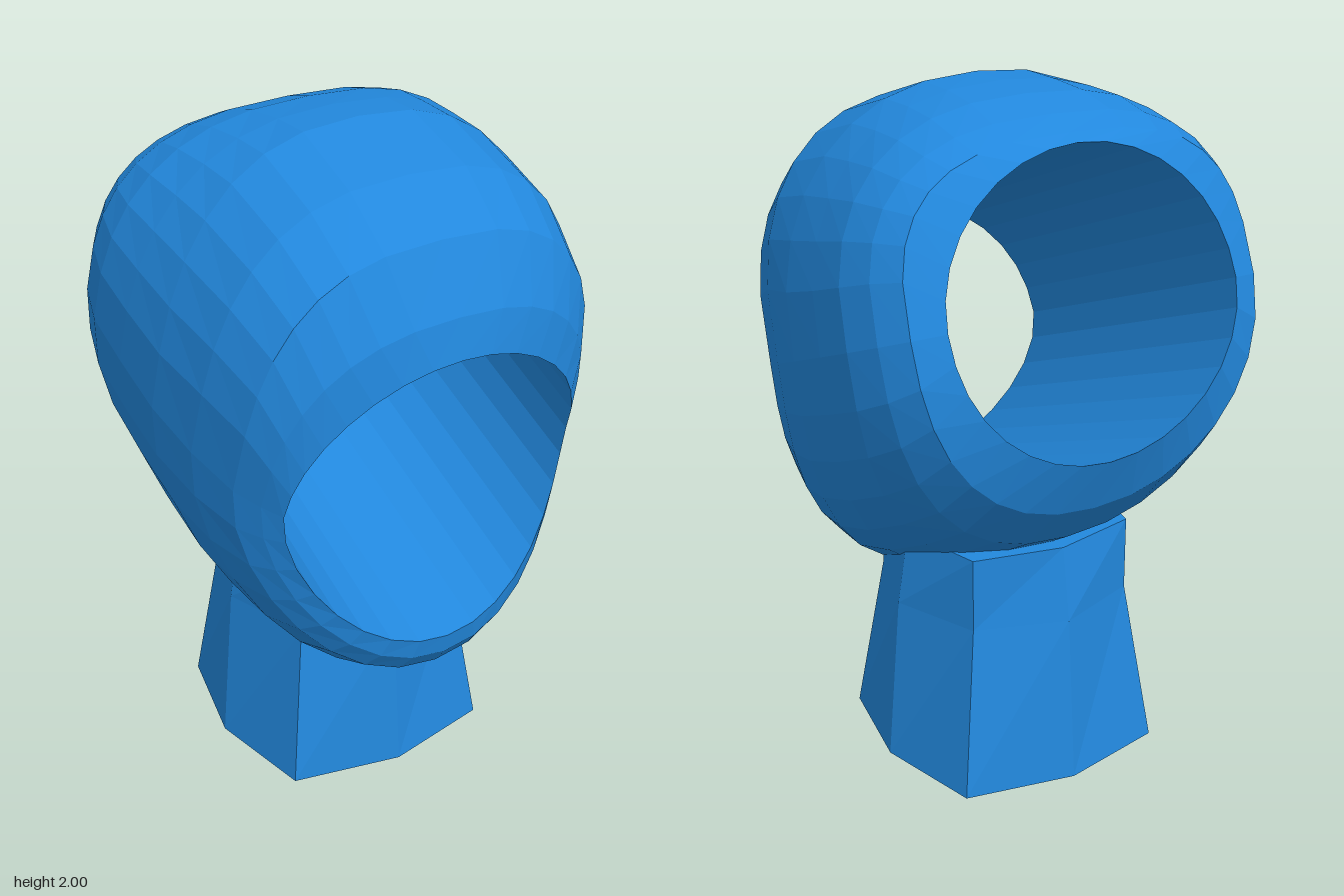
import * as THREE from 'three';

const material = new THREE.MeshStandardMaterial({ color: 0x2288dd, flatShading: true });

// Skin closed rings of points into a faceted surface
function skin(name, rings) {
  const n = rings[0].length;
  const positions = rings.flat().flatMap((p) => [p.x, p.y, p.z]);
  const index = [];
  for (let i = 0; i < rings.length - 1; i++) {
    for (let j = 0; j < n; j++) {
      const k = (j + 1) % n;
      const a = i * n + j, b = i * n + k, c = a + n, d = b + n;
      index.push(a, c, b, b, c, d);
    }
  }
  const geometry = new THREE.BufferGeometry();
  geometry.setAttribute('position', new THREE.Float32BufferAttribute(positions, 3));
  geometry.setIndex(index);
  geometry.computeVertexNormals();
  const mesh = new THREE.Mesh(geometry, material);
  mesh.name = name;
  return mesh;
}

// Tunnel frame: s runs backwards and up along the bore, t is perpendicular to it
const CENTRE_Y = 1.285, SLOPE = 0.375;
const TILT = Math.atan(SLOPE);
const SIN = Math.sin(TILT), COS = Math.cos(TILT);
const toFrame = (z, y) => ({
  s: SIN * (y - CENTRE_Y) - COS * z,
  t: COS * (y - CENTRE_Y) + SIN * z,
});

// One ring around the bore, given its top, side and bottom points and squareness
function headRing([zTop, yTop, zSide, width, zBottom, yBottom, pTop, pBottom], isRim) {
  const top = toFrame(zTop, yTop);
  const bottom = toFrame(zBottom, yBottom);
  const side = toFrame(zSide, CENTRE_Y - SLOPE * zSide);
  const ring = [];
  const count = 32;
  for (let j = 0; j < count; j++) {
    const angle = (j / count) * Math.PI * 2;
    const c = Math.cos(angle), sn = Math.sin(angle);
    const end = sn >= 0 ? top : bottom;
    const power = 2 / (sn >= 0 ? pTop : pBottom);
    const x = width * Math.sign(c) * Math.abs(c) ** power;
    const reach = isRim ? 0.42 : Math.abs(end.t);
    const t = reach * Math.sign(sn) * Math.abs(sn) ** power;
    const s = THREE.MathUtils.lerp(side.s, end.s, Math.abs(sn) ** 1.5);
    ring.push(new THREE.Vector3(x, CENTRE_Y + SIN * s + COS * t, -COS * s + SIN * t));
  }
  return ring;
}

export function createModel() {
  const group = new THREE.Group();
  group.name = 'hollowHead';

  // Head shell from the front rim to the back rim:
  // top z, top y, side z, half width, bottom z, bottom y, squareness above, below
  const sections = [
    [0.6, 1.5, 0.47, 0.46, 0.575, 0.62, 2, 2],
    [0.58, 1.62, 0.42, 0.5, 0.565, 0.56, 2.5, 2.1],
    [0.49, 1.8, 0.35, 0.545, 0.52, 0.5, 2.8, 2.15],
    [0.33, 1.92, 0.2, 0.59, 0.4, 0.44, 2.7, 2.15],
    [0.08, 2.0, 0.03, 0.62, 0.25, 0.445, 2.5, 2.15],
    [-0.05, 1.995, -0.15, 0.628, 0.05, 0.51, 2.5, 2.15],
    [-0.18, 1.98, -0.31, 0.63, -0.2, 0.64, 2.6, 2.2],
    [-0.3, 1.945, -0.42, 0.6, -0.4, 0.76, 2.8, 2.2],
    [-0.38, 1.91, -0.5, 0.55, -0.53, 0.9, 2.9, 2.2],
    [-0.42, 1.89, -0.53, 0.46, -0.6, 1.06, 2, 2],
  ];
  const last = sections.length - 1;
  const rings = sections.map((row, i) => headRing(row, i === 0 || i === last));
  group.add(skin('headShell', rings));

  // Straight bore through the head
  group.add(skin('tunnel', [rings[last], rings[0]]));

  // Tapered neck with a bulged square section: y, corner offset, mid-side offset
  const NECK_Z = -0.06;
  const neckRing = ([y, corner, middle]) =>
    Array.from({ length: 8 }, (_, j) => {
      const angle = (j * Math.PI) / 4;
      const r = j % 2 ? corner * Math.SQRT2 : middle;
      return new THREE.Vector3(r * Math.cos(angle), y, NECK_Z + r * Math.sin(angle));
    });
  const neckLevels = [
    [0, 0, 0],
    [0, 0.33, 0.4],
    [0.5, 0.265, 0.36],
    [0.72, 0.265, 0.325],
    [0.72, 0, 0],
  ];
  group.add(skin('neck', neckLevels.map(neckRing)));

  return group;
}
